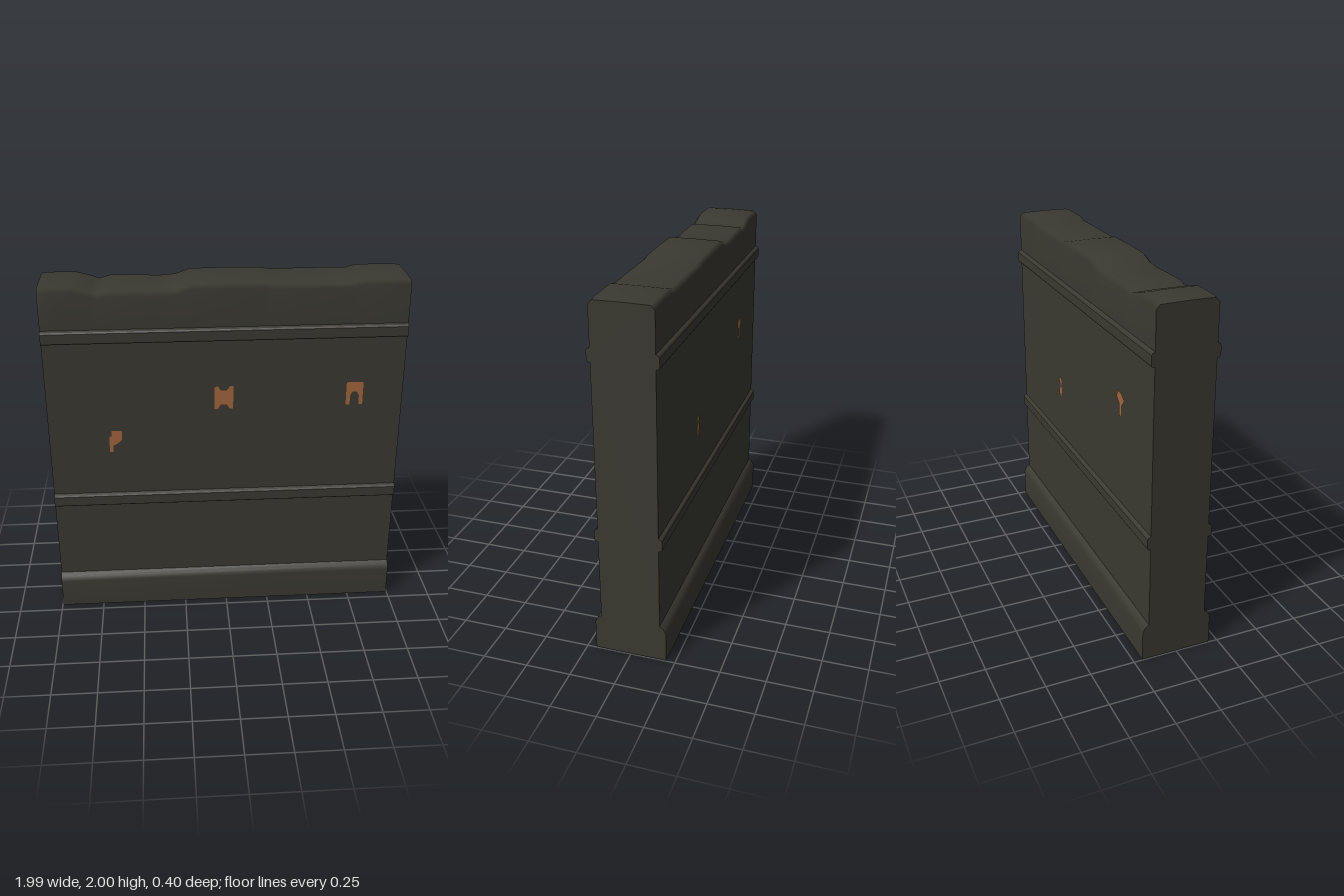
import * as THREE from 'three';

const HALF = 0.995; // half length of the wall
const WALL = 0.165; // half thickness of the wall

// Broken top edge: [x, height]
const TOP = [
  [-HALF, 1.985], [-0.95, 1.99], [-0.81, 1.99], [-0.72, 1.965], [-0.68, 1.95], [-0.62, 1.967],
  [-0.48, 1.965], [-0.35, 1.96], [-0.26, 1.967], [-0.18, 1.995], [0, 1.998], [0.2, 1.995],
  [0.26, 1.985], [0.48, 1.986], [0.69, 1.985], [0.75, 2], [0.94, 2], [HALF, 1.995],
];

// Smooth surface through cross-sections; section(i) returns [z, y] points
function loft(xs, section) {
  const pos = [], index = [];
  const n = section(0).length;
  xs.forEach((x, i) => section(i).forEach(([z, y]) => pos.push(x, y, z)));
  for (let i = 0; i < xs.length - 1; i++) {
    for (let j = 0; j < n - 1; j++) {
      const a = i * n + j, b = a + n;
      index.push(a, b, b + 1, a, b + 1, a + 1);
    }
  }
  const geo = new THREE.BufferGeometry();
  geo.setAttribute('position', new THREE.Float32BufferAttribute(pos, 3));
  geo.setIndex(index);
  geo.computeVertexNormals();
  return geo;
}

const shapeOf = (pts) => new THREE.Shape(pts.map(([x, y]) => new THREE.Vector2(x, y)));

export function createModel() {
  const group = new THREE.Group();
  const stone = new THREE.MeshStandardMaterial({ color: 0x3a3931, side: THREE.DoubleSide });
  stone.name = 'dark stone';
  const rust = new THREE.MeshStandardMaterial({ color: 0xa4653d });
  rust.name = 'exposed brick';

  const add = (name, geo, mat, parent = group) => {
    const mesh = new THREE.Mesh(geo, mat);
    mesh.name = name;
    parent.add(mesh);
    return mesh;
  };

  // Half profiles, [z, y]
  const plinth = [[0.2, 0], [0.2, 0.17], [0.187, 0.2], [WALL, 0.215]];
  const crownHalf = (y) => [[WALL, 1.72], [WALL, y - 0.025], [0.145, y - 0.002]];
  const mirror = (pts) => [...pts].reverse().map(([z, y]) => [-z, y]);
  const crown = (i) => {
    const half = crownHalf(TOP[i][1]);
    return [...half, [0, TOP[i][1]], ...mirror(half)];
  };

  // Front and back sides: plinth, flat wall and two raised bands
  for (const side of ['front', 'back']) {
    const half = new THREE.Group();
    half.name = side + 'Side';
    if (side === 'back') half.rotation.y = Math.PI;
    group.add(half);
    const ends = [-HALF, HALF];
    add('plinth', loft(ends, () => plinth), stone, half);
    add('wallFace', loft(ends, () => [[WALL, 0.215], [WALL, 1.72]]), stone, half);
    for (const y of [0.682, 1.68]) {
      const profile = shapeOf([
        [-WALL, y], [-0.18, y + 0.003], [-0.184, y + 0.01], [-0.184, y + 0.062], [-0.178, y + 0.07], [-WALL, y + 0.077],
      ]);
      const geo = new THREE.ExtrudeGeometry(profile, { depth: 2 * HALF, bevelEnabled: false });
      geo.translate(0, 0, -HALF).rotateY(Math.PI / 2);
      add('band', geo, stone, half);
    }
  }

  // Worn crown running over the top
  add('crown', loft(TOP.map((p) => p[0]), crown), stone);

  // Flat ends
  for (const s of [-1, 1]) {
    const outline = [...plinth, ...crown(s < 0 ? 0 : TOP.length - 1), ...mirror(plinth)];
    const cap = add('endFace', new THREE.ShapeGeometry(shapeOf(outline)), stone);
    cap.rotation.y = s * Math.PI / 2;
    cap.position.x = s * HALF;
  }

  // Exposed patches, outlined as seen facing each side
  const patches = {
    front: [
      [[-0.065, 1.275], [-0.045, 1.275], [-0.03, 1.3], [0.005, 1.3], [0.02, 1.275], [0.04, 1.275], [0.04, 1.41],
        [0.022, 1.413], [0.004, 1.385], [-0.03, 1.385], [-0.045, 1.413], [-0.065, 1.405]],
      [[0.675, 1.278], [0.698, 1.278], [0.698, 1.335], [0.71, 1.357], [0.735, 1.357], [0.748, 1.335],
        [0.748, 1.278], [0.77, 1.278], [0.77, 1.415], [0.675, 1.415]],
      [[-0.66, 1.024], [-0.642, 1.024], [-0.64, 1.062], [-0.615, 1.075], [-0.588, 1.1], [-0.588, 1.155],
        [-0.645, 1.157], [-0.645, 1.125], [-0.66, 1.115]],
    ],
    back: [
      [[-0.315, 1.02], [-0.29, 1.015], [-0.27, 1.065], [-0.288, 1.09], [-0.278, 1.115], [-0.292, 1.14],
        [-0.325, 1.125], [-0.305, 1.09], [-0.318, 1.06]],
      [[0.587, 1.265], [0.615, 1.268], [0.615, 1.325], [0.645, 1.36], [0.642, 1.375], [0.6, 1.4],
        [0.56, 1.395], [0.555, 1.36], [0.59, 1.33]],
    ],
  };
  for (const side of ['front', 'back']) {
    for (const pts of patches[side]) {
      const patch = add(side + 'Patch', new THREE.ShapeGeometry(shapeOf(pts)), rust);
      patch.position.z = (WALL + 0.003) * (side === 'front' ? 1 : -1);
      if (side === 'back') patch.rotation.y = Math.PI;
    }
  }
  return group;
}
